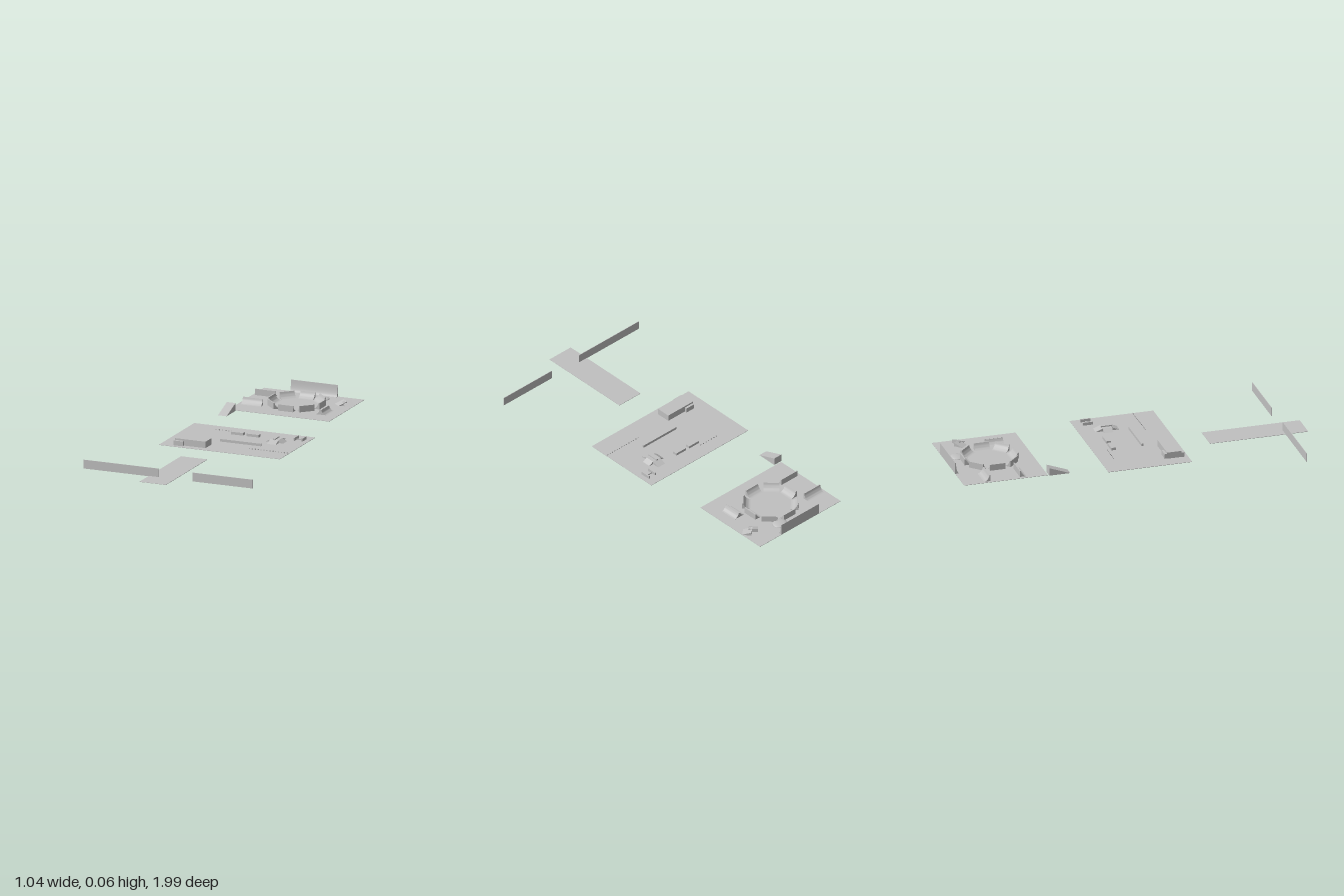
import * as THREE from 'three';
import { toCreasedNormals } from 'three/addons/utils/BufferGeometryUtils.js';

export function createModel() {
  const park = new THREE.Group();
  park.name = 'skatePark';
  const concrete = new THREE.MeshStandardMaterial({ color: 0xc0c0c0, side: THREE.DoubleSide });
  concrete.name = 'concrete grey';
  const rad = THREE.MathUtils.degToRad;
  const YAW = 10; // the whole park is turned by this angle
  const FLOOR = 0.002;

  function put(name, geometry, x, z, yaw = YAW, y = FLOOR) {
    const mesh = new THREE.Mesh(geometry, concrete);
    mesh.name = name;
    mesh.position.set(x, y, z);
    mesh.rotation.y = rad(yaw);
    park.add(mesh);
    return mesh;
  }
  // box resting on its base
  const block = (w, h, d) => new THREE.BoxGeometry(w, h, d).translate(0, h / 2, 0);

  // ramp with its low edge towards +z; curved gives a quarter pipe with a narrow deck
  function ramp(w, h, d, curved = true) {
    const s = new THREE.Shape();
    s.moveTo(-d / 2, 0);
    s.lineTo(d / 2, 0);
    if (curved) {
      const run = d * 0.85;
      for (let i = 1; i <= 7; i++) {
        const a = (i / 7) * rad(75);
        s.lineTo(d / 2 - (run * Math.sin(a)) / Math.sin(rad(75)),
          (h * (1 - Math.cos(a))) / (1 - Math.cos(rad(75))));
      }
    }
    s.lineTo(-d / 2, h);
    s.closePath();
    const g = new THREE.ExtrudeGeometry(s, { depth: w, bevelEnabled: false });
    g.translate(0, 0, -w / 2).rotateY(-Math.PI / 2);
    return toCreasedNormals(g, 0.5);
  }

  // ground slabs
  for (const [name, x, z, w, d] of [
    ['bowlSlab', -0.197, -0.723, 0.58, 0.462],
    ['streetSlab', -0.061, 0.045, 0.698, 0.462],
    ['entrancePath', -0.02, 0.71, 0.152, 0.542],
  ]) put(name, block(w, FLOOR, d), x, z, YAW, 0);

  // entrance walls
  put('entranceWallRight', block(0.431, 0.048, 0.003), -0.228, 0.897, YAW, 0);
  put('entranceWallLeft', block(0.346, 0.048, 0.003), 0.35, 0.794, YAW, 0);

  // bowl: eight quarter pipes facing the centre
  for (let i = 0; i < 8; i++) {
    const a = YAW + i * 45;
    put('bowlRamp', ramp(0.084, 0.034, 0.043),
      -0.196 + 0.128 * Math.sin(rad(a)), -0.725 + 0.128 * Math.cos(rad(a)), a + 180);
  }

  // quarter pipes around the bowl
  put('backQuarterPipe', ramp(0.27, 0.063, 0.022), -0.233, -0.941);
  put('sideQuarterPipe', ramp(0.115, 0.034, 0.036), -0.43, -0.783, YAW + 180);
  put('sideQuarterPipe', ramp(0.115, 0.034, 0.036), -0.39, -0.587, YAW);
  for (const s of [-1, 1]) {
    put('doubleRamp', ramp(0.1, 0.026, 0.034),
      0.01 + s * 0.017, -0.677 - s * 0.003, YAW + s * 90);
    put('cornerKicker', ramp(0.05, 0.02, 0.05, false),
      0.018 + s * 0.021, -0.858 - s * 0.003, s > 0 ? 50 : -35);
  }
  // low mound
  put('mound', new THREE.SphereGeometry(1, 16, 6, 0, Math.PI * 2, 0, Math.PI / 2)
    .scale(0.042, 0.01, 0.038), -0.148, -0.89);

  // straight ramp leading up to the bowl slab
  put('accessRamp', ramp(0.05, 0.043, 0.116, false), -0.414, -0.385, YAW, 0);

  // street area: platform with side steps
  put('platform', block(0.178, 0.035, 0.078), -0.216, 0.23);
  put('platformStep', block(0.055, 0.026, 0.014), -0.281, 0.196);
  put('platformStep', block(0.055, 0.026, 0.014), -0.27, 0.288);

  // long ledge and two low boxes
  put('longLedge', block(0.235, 0.014, 0.01), -0.015, 0.077);
  put('lowBox', block(0.07, 0.014, 0.026), -0.13, -0.066);
  put('lowBox', block(0.07, 0.014, 0.026), -0.04, -0.081);

  // rows of little posts
  function postRow(n, x0, z0, x1, z1) {
    for (let i = 0; i < n; i++) {
      const t = i / (n - 1);
      put('post', block(0.006, 0.006, 0.003), x0 + (x1 - x0) * t, z0 + (z1 - z0) * t);
    }
  }
  postRow(7, -0.275, -0.075, -0.165, -0.094);
  postRow(14, 0.08, 0.138, 0.295, 0.1);

  // fun box: raised top with a slope on each side
  const fx = 0.115, fz = -0.065;
  put('funBoxTop', block(0.05, 0.016, 0.05), fx, fz);
  for (let i = 0; i < 4; i++) {
    const a = YAW + i * 90, r = i % 2 ? 0.038 : 0.045;
    put('funBoxSlope', ramp(0.05, 0.016, i % 2 ? 0.026 : 0.04, false),
      fx + r * Math.sin(rad(a)), fz + r * Math.cos(rad(a)), a);
  }
  put('funBoxLedge', block(0.012, 0.022, 0.06), fx, fz);

  // pair of short rails with a cross bar
  for (const s of [-1, 1])
    put('shortRail', block(0.008, 0.016, 0.055), 0.203 + s * 0.022, -0.158 - s * 0.004);
  put('railBar', block(0.04, 0.006, 0.006), 0.203, -0.158);

  return park;
}
